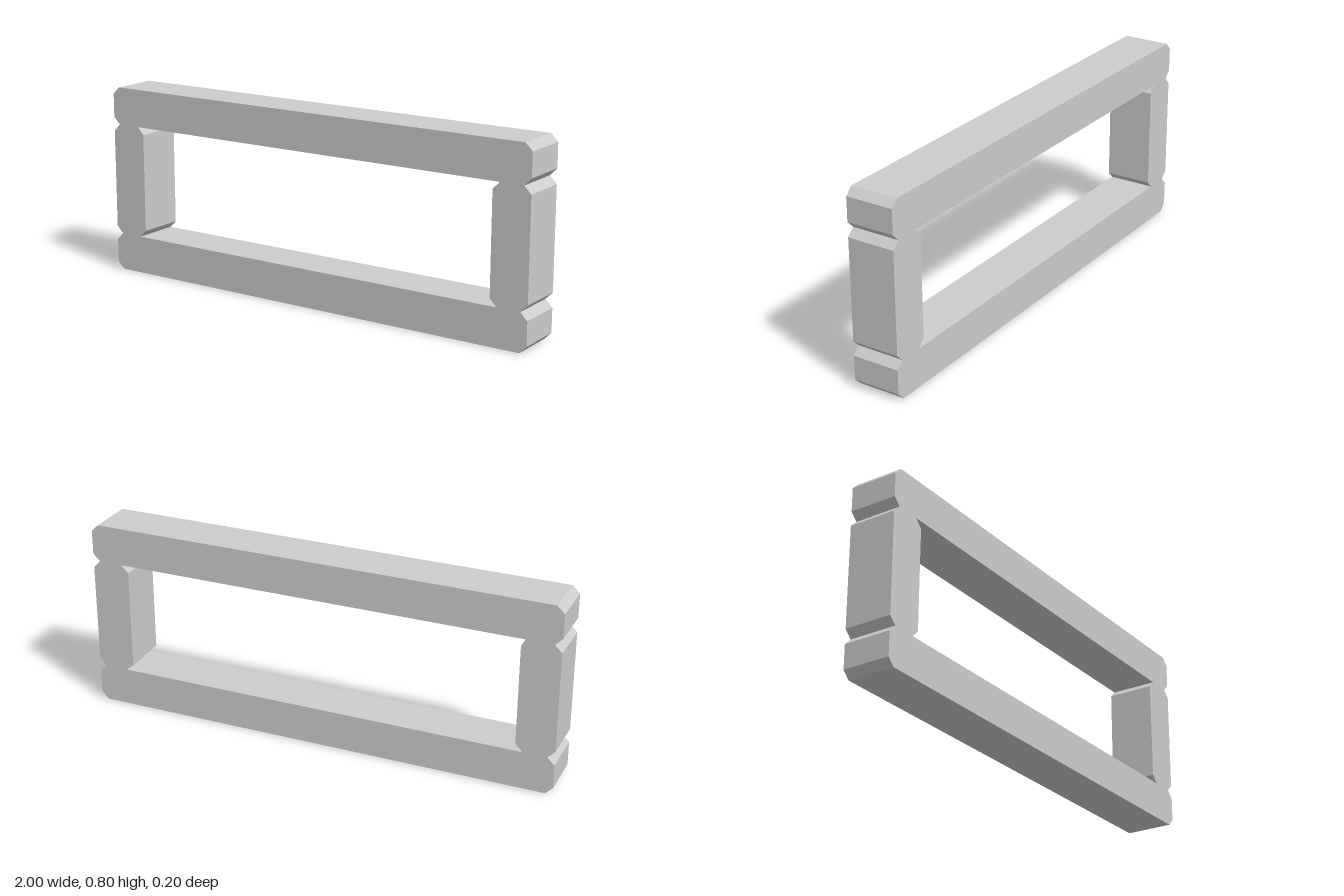
import * as THREE from 'three';

const HALF = 1, HEIGHT = 0.8, DEPTH = 0.2, BAR = 0.16, C = 0.03;

// Right-hand edge points, bottom to top, then the same points mirrored back down
function mirroredLoop(right) {
  const left = right.map(([x, y]) => [-x, y]).reverse();
  return [...right, ...left].map(([x, y]) => new THREE.Vector2(x, y));
}

export function createModel() {
  const group = new THREE.Group();
  const grey = new THREE.MeshStandardMaterial({ color: 0xcccccc });
  grey.name = 'light grey';

  // Outer edge: each stacked block (bottom bar, post, top bar) has chamfered ends
  const levels = [0, BAR, HEIGHT - BAR, HEIGHT];
  const outer = [];
  levels.forEach((y, i) => {
    if (i > 0) outer.push([HALF, y - C]);
    outer.push([HALF - C, y]);
    if (i < levels.length - 1) outer.push([HALF, y + C]);
  });

  // Opening: the posts are chamfered where they meet the bars
  const inX = HALF - BAR;
  const inner = [
    [inX + C, BAR], [inX, BAR + C],
    [inX, HEIGHT - BAR - C], [inX + C, HEIGHT - BAR],
  ];

  const shape = new THREE.Shape(mirroredLoop(outer));
  shape.holes.push(new THREE.Path(mirroredLoop(inner).reverse()));

  const geometry = new THREE.ExtrudeGeometry(shape, { depth: DEPTH, bevelEnabled: false });
  geometry.translate(0, 0, -DEPTH / 2);

  const frame = new THREE.Mesh(geometry, grey);
  frame.name = 'frame';
  group.add(frame);
  return group;
}
